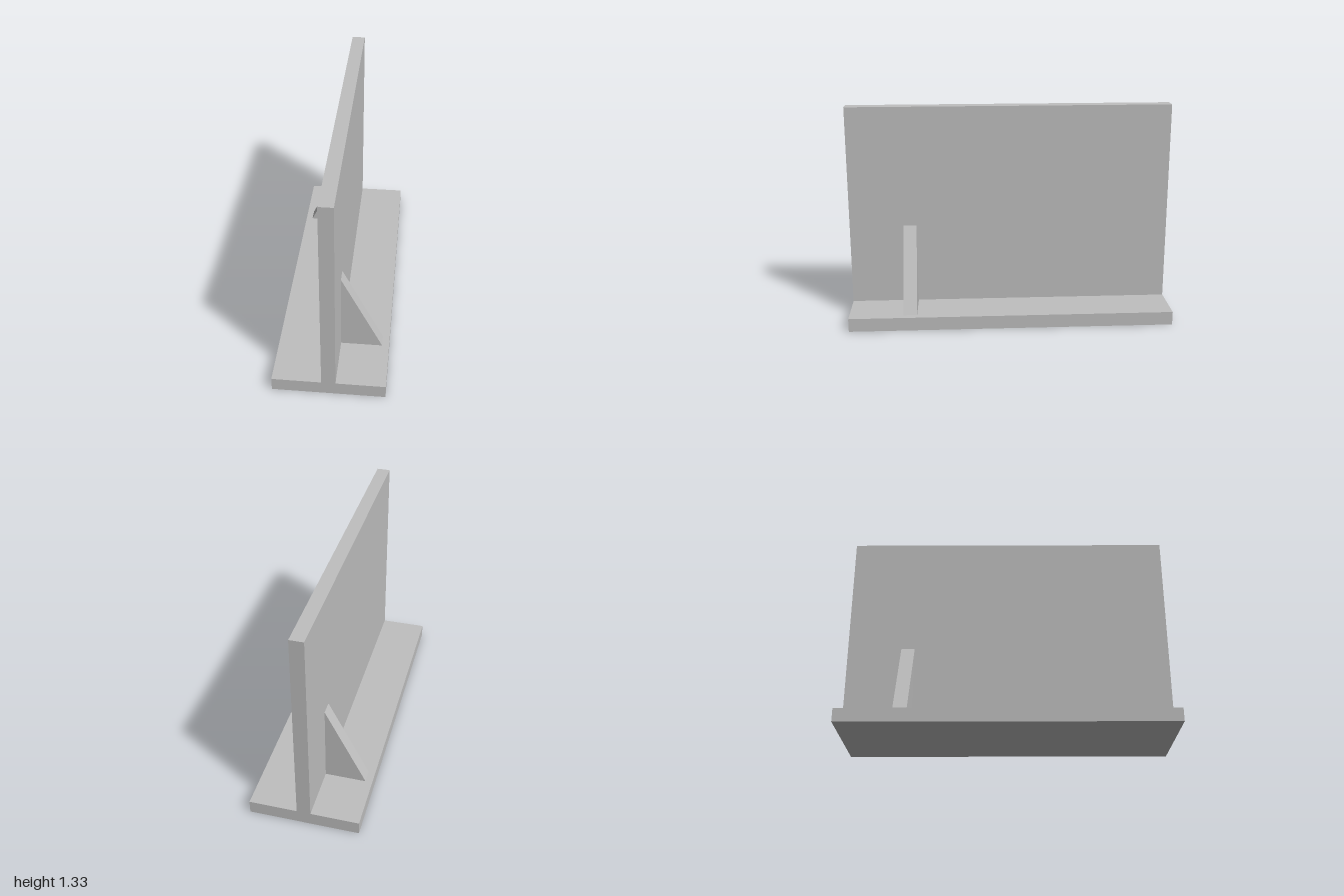
import * as THREE from 'three';

const LENGTH = 2, BASE_W = 0.6667, THICK = 0.0833, HEIGHT = 1.3333;
const GUSSET_W = 0.25, GUSSET_H = 0.5, GUSSET_Z = 0.625;

export function createModel() {
  const group = new THREE.Group();
  const steel = new THREE.MeshStandardMaterial({ color: 0xbfbfbf });
  steel.name = 'light grey';

  const add = (name, geometry) => {
    const mesh = new THREE.Mesh(geometry, steel);
    mesh.name = name;
    group.add(mesh);
    return mesh;
  };

  // Flat base and upright wall, forming an inverted T
  add('basePlate', new THREE.BoxGeometry(BASE_W, THICK, LENGTH)).position.y = THICK / 2;
  add('uprightWall', new THREE.BoxGeometry(THICK, HEIGHT - THICK, LENGTH))
    .position.y = (HEIGHT + THICK) / 2;

  // Triangular gussets on opposite sides, at opposite ends
  const triangle = new THREE.Shape([
    new THREE.Vector2(0, 0),
    new THREE.Vector2(GUSSET_W, 0),
    new THREE.Vector2(0, GUSSET_H),
  ]);
  const gusset = new THREE.ExtrudeGeometry(triangle, { depth: THICK, bevelEnabled: false });
  gusset.translate(THICK / 2, THICK, GUSSET_Z - THICK / 2);
  add('leftGusset', gusset);
  add('rightGusset', gusset).rotation.y = Math.PI;

  return group;
}
